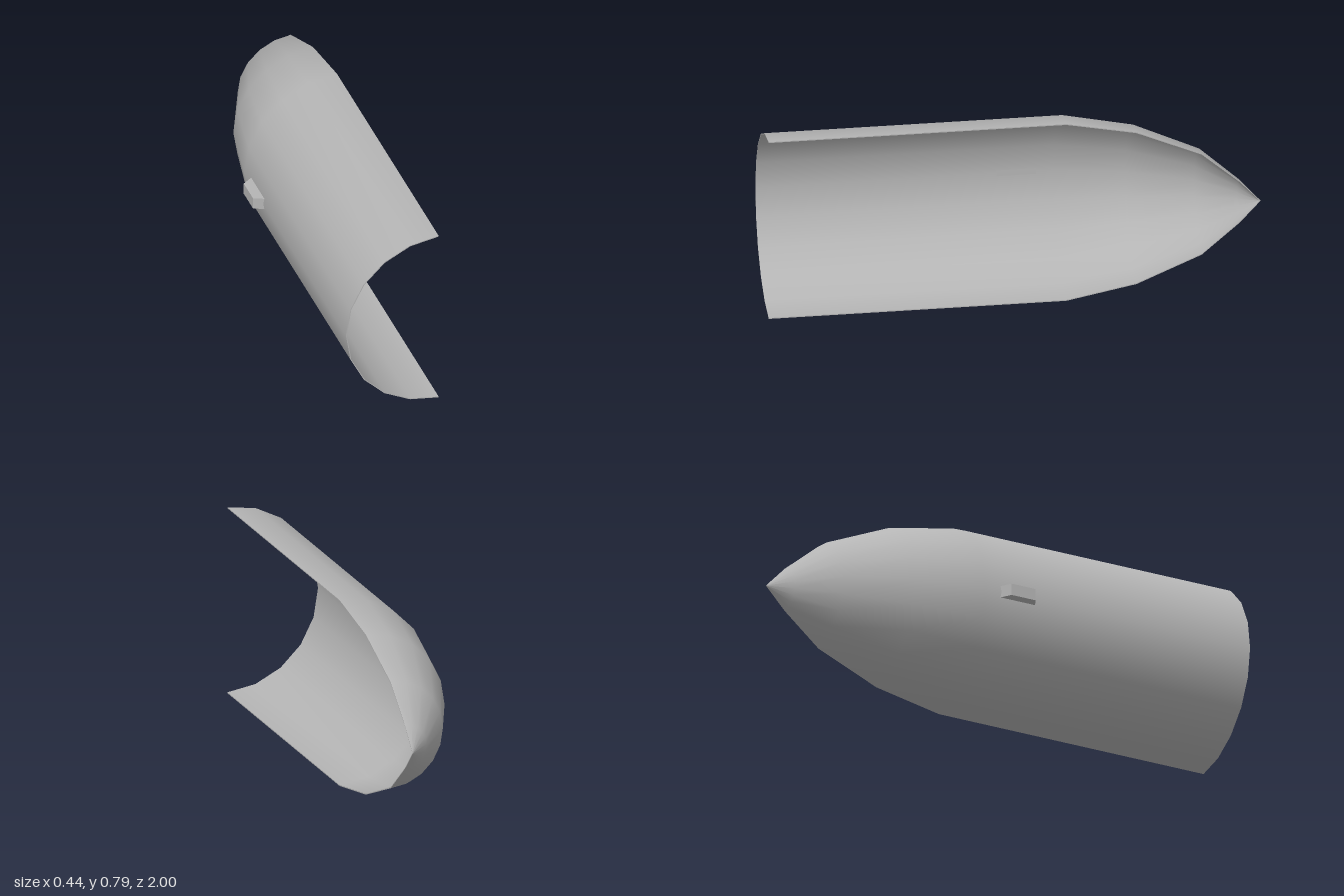
import * as THREE from 'three';

const AXIS_X = 0.217, AXIS_Y = 0.397, WALL = 0.004, SIDES = 10;

// Half-hull outline as [radius, distance towards the nose]
const OUTLINE = [[0.397, -1], [0.397, 0.21], [0.341, 0.495], [0.227, 0.76], [0.093, 0.915], [0, 1]];

export function createModel() {
  const model = new THREE.Group();
  model.name = 'halfShell';
  const grey = new THREE.MeshStandardMaterial({ color: 0xb4b4b4 });
  grey.name = 'plainGrey';

  const shell = new THREE.Group();
  shell.name = 'shell';
  shell.position.set(AXIS_X, AXIS_Y, 0);
  model.add(shell);

  const add = (parent, name, geometry) => {
    const mesh = new THREE.Mesh(geometry, grey);
    mesh.name = name;
    parent.add(mesh);
  };

  const outer = OUTLINE.map(([r, d]) => new THREE.Vector2(r, d));
  const inner = OUTLINE.map(([r, d]) => new THREE.Vector2(Math.max(r - WALL, 0), d === 1 ? d - WALL : d));
  const sweep = (points) =>
    new THREE.LatheGeometry(points, SIDES, Math.PI, Math.PI).rotateX(-Math.PI / 2);

  // Smooth outer skin and inner skin
  add(shell, 'outerSkin', sweep(outer));
  add(shell, 'innerSkin', sweep([...inner].reverse()));

  // Thin rim at the open end
  const r = OUTLINE[0][0];
  add(shell, 'openEndRim',
    new THREE.RingGeometry(r - WALL, r, SIDES, 1, Math.PI / 2, Math.PI).translate(0, 0, 1));

  // Thin cut edges along the split plane, above and below the axis
  for (const side of [1, -1]) {
    const loop = [...outer, ...[...inner].reverse()].map((p) => new THREE.Vector2(p.y, side * p.x));
    add(shell, side > 0 ? 'upperCutEdge' : 'lowerCutEdge',
      new THREE.ShapeGeometry(new THREE.Shape(loop)).rotateY(Math.PI / 2));
  }

  // Tapered lug on the outside, drawn in plan (x, -z) and extruded upwards
  const plan = new THREE.Shape([
    new THREE.Vector2(-0.174, -0.02), new THREE.Vector2(-0.174, 0.14),
    new THREE.Vector2(-0.218, 0.11), new THREE.Vector2(-0.218, 0),
  ]);
  const lug = new THREE.ExtrudeGeometry(plan, { depth: 0.05, bevelEnabled: false });
  add(model, 'lug', lug.rotateX(-Math.PI / 2).translate(0, 0.373, 0));

  return model;
}
